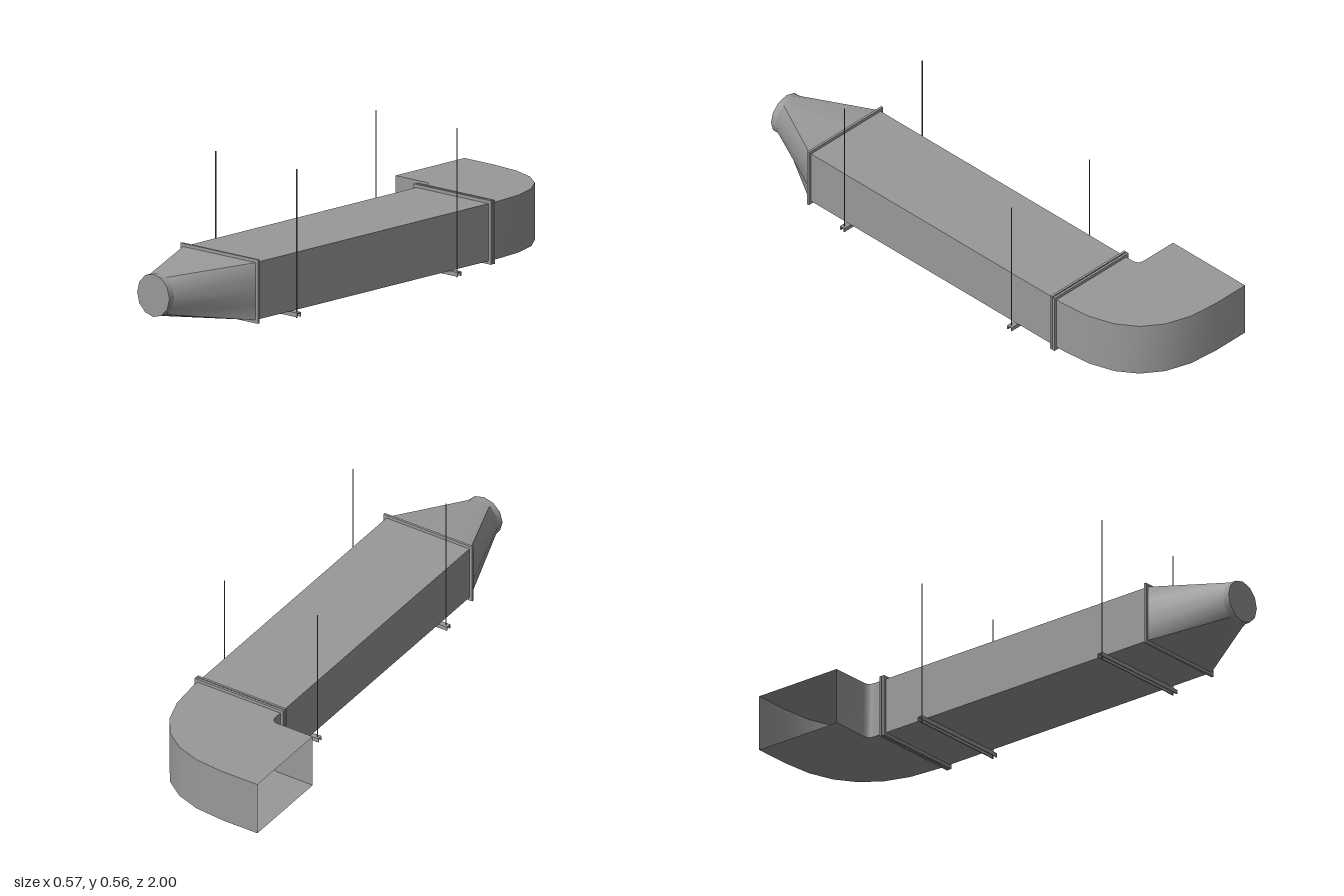
import * as THREE from 'three';
import { toCreasedNormals } from 'three/addons/utils/BufferGeometryUtils.js';

const X0 = -0.105, X1 = 0.254, Y0 = 0.024, Y1 = 0.238; // duct section

const metal = new THREE.MeshStandardMaterial({ color: 0x999999 });
const sheet = new THREE.MeshStandardMaterial({ color: 0x999999, side: THREE.DoubleSide });
const darkMetal = new THREE.MeshStandardMaterial({ color: 0x666666 });

function part(name, geometry, material = metal) {
  const mesh = new THREE.Mesh(geometry, material);
  mesh.name = name;
  return mesh;
}

// Skin over equal-length rings (or open strips), ordered from front to back
function loft(rings, closed = true, crease = 0.6) {
  const n = rings[0].length, index = [];
  for (let i = 0; i < rings.length - 1; i++) {
    for (let j = 0; j < (closed ? n : n - 1); j++) {
      const k = (j + 1) % n;
      const a = i * n + j, b = i * n + k, c = b + n, d = a + n;
      index.push(a, c, b, a, d, c);
    }
  }
  const geometry = new THREE.BufferGeometry();
  geometry.setAttribute('position', new THREE.Float32BufferAttribute(rings.flat(2), 3));
  geometry.setIndex(index);
  return toCreasedNormals(geometry, crease);
}

// Rectangular section standing on the plan line from outer to inner point
const section = (ox, oz, ix, iz) => [[ox, Y0, oz], [ox, Y1, oz], [ix, Y1, iz], [ix, Y0, iz]];

// Rectangular frame around the duct
function flange(z, depth) {
  const m = 0.012;
  const shape = new THREE.Shape([
    new THREE.Vector2(X0 - m, Y0 - m), new THREE.Vector2(X1 + m, Y0 - m),
    new THREE.Vector2(X1 + m, Y1 + m), new THREE.Vector2(X0 - m, Y1 + m)]);
  shape.holes.push(new THREE.Path([
    new THREE.Vector2(X0, Y0), new THREE.Vector2(X0, Y1),
    new THREE.Vector2(X1, Y1), new THREE.Vector2(X1, Y0)]));
  const geometry = new THREE.ExtrudeGeometry(shape, { depth, bevelEnabled: false });
  return part('flange', geometry.translate(0, 0, z - depth / 2));
}

// Channel bar under the duct with a threaded rod at each end
function hanger(z) {
  const group = new THREE.Group();
  group.name = 'hanger';
  const w = 0.011, t = 0.004, h = 0.016;
  const profile = [[-w, 0], [-w, h], [w, h], [w, 0], [w - t, 0], [w - t, h - t], [t - w, h - t], [t - w, 0]];
  const channel = new THREE.ExtrudeGeometry(
    new THREE.Shape(profile.map(([x, y]) => new THREE.Vector2(x, y))),
    { depth: 0.424, bevelEnabled: false });
  channel.rotateY(Math.PI / 2).translate(-0.139, 0.006, z);
  group.add(part('channel', channel));
  for (const x of [-0.128, 0.274]) {
    const rod = part('rod', new THREE.CylinderGeometry(0.002, 0.002, 0.555, 8), darkMetal);
    rod.position.set(x, 0.2775, z);
    group.add(rod);
  }
  return group;
}

// Square-to-round transition: flat top and bottom, smoothly curved sides
function transition(px, py, r) {
  const group = new THREE.Group();
  group.name = 'transition';
  // [first and last step on the 12-sided circle, rectangle corners they meet]
  const panels = [
    ['leftPanel', -2, 2, [X1, Y0], [X1, Y1]],
    ['topPanel', 2, 4, [X1, Y1], [X0, Y1]],
    ['rightPanel', 4, 8, [X0, Y1], [X0, Y0]],
    ['bottomPanel', 8, 10, [X0, Y0], [X1, Y0]],
  ];
  for (const [name, first, last, from, to] of panels) {
    const round = [], square = [];
    for (let i = first; i <= last; i++) {
      const a = i * Math.PI / 6, t = (i - first) / (last - first);
      round.push([px + r * Math.cos(a), py + r * Math.sin(a), 0.975]);
      square.push([from[0] + (to[0] - from[0]) * t, from[1] + (to[1] - from[1]) * t, 0.68]);
    }
    group.add(part(name, loft([round, square], false, Math.PI), sheet));
  }
  return group;
}

export function createModel() {
  const model = new THREE.Group();
  model.name = 'ventilationDuct';

  // Straight run
  model.add(part('straightDuct', loft([section(X1, 0.68, X0, 0.68), section(X1, -0.56, X0, -0.56)]), sheet));

  // Elbow turning to the right along a quadratic curve, open at its end
  const ex = -0.135, ez = -0.605, rOut = X1 - ex, rIn = X0 - ex, steps = 6;
  const bend = [section(X1, -0.56, X0, -0.56)];
  for (let i = 0; i <= steps; i++) {
    const t = i / steps, c = 1 - t * t, s = 1 - (1 - t) * (1 - t);
    bend.push(section(ex + rOut * c, ez - (1 + ez) * s, ex + rIn * c, ez - rIn * s));
  }
  bend.push(section(-0.285, -1, -0.285, ez - rIn));
  model.add(part('elbow', loft(bend), sheet));

  // Transition and round collar with a closed front
  const px = 0.047, py = 0.138, r = 0.08;
  model.add(transition(px, py, r));
  const collar = part('collar', new THREE.CylinderGeometry(r, r, 0.03, 12).rotateX(Math.PI / 2));
  collar.position.set(px, py, 0.985);
  model.add(collar);

  // Joint flanges
  model.add(flange(0.676, 0.009), flange(-0.557, 0.009), flange(-0.57, 0.009));

  // Hangers
  for (const z of [0.483, -0.365]) model.add(hanger(z));

  return model;
}
